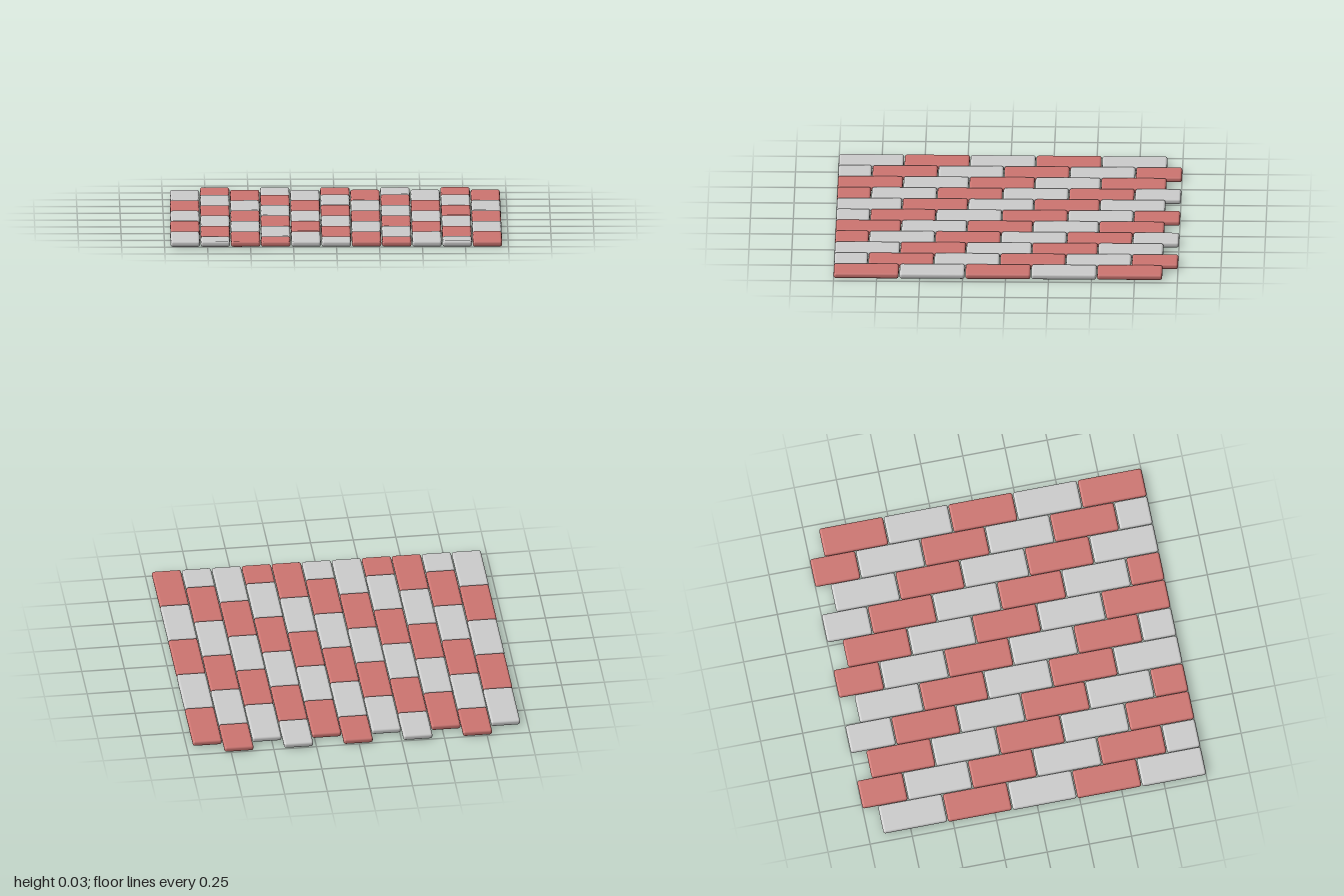
import * as THREE from 'three';
import { RoundedBoxGeometry } from 'three/addons/geometries/RoundedBoxGeometry.js';

const HEIGHT = 0.034, WIDTH = 0.171, LENGTH = 0.3832, GAP = 0.005, RADIUS = 0.014;
const COLUMNS = 11, RIGHT_X = 0.878;

export function createModel() {
  const group = new THREE.Group();
  group.name = 'brickPaving';
  const grey = new THREE.MeshStandardMaterial({ color: 0xcccccc });
  const red = new THREE.MeshStandardMaterial({ color: 0xcc7470 });

  // Joint positions along z: even columns hold whole bricks, odd ones are cut at both ends
  const joints = (first, count) => Array.from({ length: count }, (_, k) => first + k * LENGTH);
  const wholeColumn = joints(1 + GAP / 2 - 5 * LENGTH, 6);
  const cutColumn = [-1 - GAP / 2, ...joints(-0.73, 5), 1 + GAP / 2];

  // Each brick length is built once and shared
  const cache = new Map();
  const brickGeometry = (length) => {
    const key = length.toFixed(3);
    if (!cache.has(key)) cache.set(key, new RoundedBoxGeometry(WIDTH, HEIGHT, length, 3, RADIUS));
    return cache.get(key);
  };

  for (let i = 0; i < COLUMNS; i++) {
    const column = new THREE.Group();
    column.name = `column${i + 1}`;
    const z = i % 2 ? cutColumn : wholeColumn;
    const startsRed = i % 4 === 1 || i % 4 === 2;

    for (let k = 0; k < z.length - 1; k++) {
      const isRed = (k % 2 === 0) === startsRed;
      const brick = new THREE.Mesh(brickGeometry(z[k + 1] - z[k] - GAP), isRed ? red : grey);
      brick.name = isRed ? 'redBrick' : 'greyBrick';
      const mid = (z[k] + z[k + 1]) / 2;
      // Columns spread very slightly towards the front
      const pitch = 0.1753 + 0.0006 * mid;
      brick.position.set(RIGHT_X - (COLUMNS - 1 - i) * pitch, HEIGHT / 2, mid);
      column.add(brick);
    }
    group.add(column);
  }
  return group;
}
